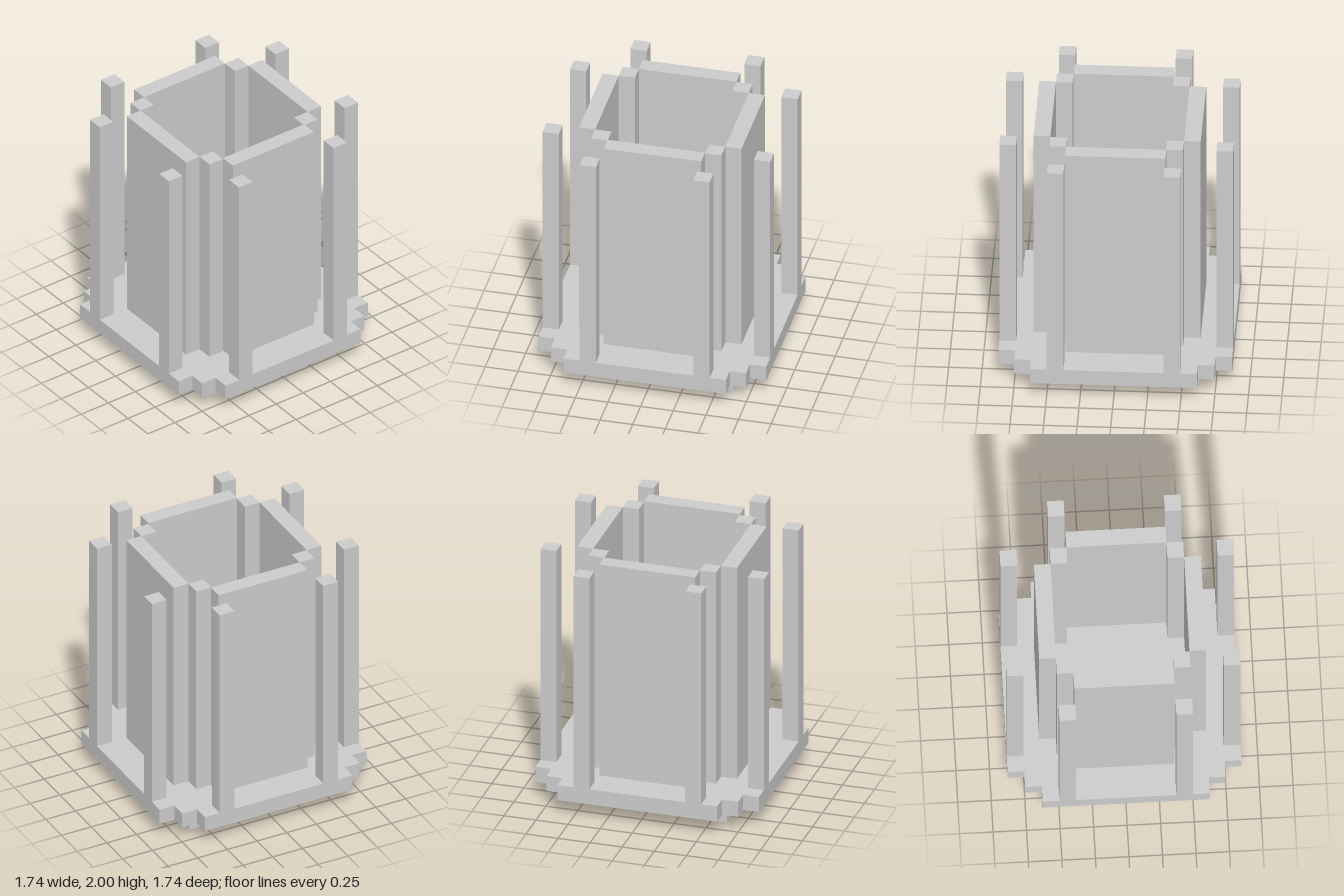
import * as THREE from 'three';

const U = 0.1245; // module: every part is laid out on this grid

export function createModel() {
  const model = new THREE.Group();
  const material = new THREE.MeshStandardMaterial({ color: 0xcccccc, flatShading: true });

  // Box given by its centre in x and z, its size and its bottom, in modules
  const box = (name, w, h, d, x, bottom, z) => {
    const mesh = new THREE.Mesh(new THREE.BoxGeometry(w * U, h * U, d * U), material);
    mesh.name = name;
    mesh.position.set(x * U, (bottom + h / 2) * U, z * U);
    model.add(mesh);
    return mesh;
  };

  // Square foot under the slab
  box('plinth', 10, 1, 10, 0, 0, 0);

  // Slab with stepped corners
  const corner = [[7, 5], [6, 5], [6, 6], [5, 6], [5, 7]];
  const outline = [];
  for (let q = 0; q < 4; q++) {
    const c = Math.round(Math.cos(q * Math.PI / 2));
    const s = Math.round(Math.sin(q * Math.PI / 2));
    for (const [x, y] of corner) {
      outline.push(new THREE.Vector2((x * c - y * s) * U, (x * s + y * c) * U));
    }
  }
  const slabGeometry = new THREE.ExtrudeGeometry(new THREE.Shape(outline), { depth: U, bevelEnabled: false });
  slabGeometry.rotateX(-Math.PI / 2);
  const slab = new THREE.Mesh(slabGeometry, material);
  slab.name = 'baseSlab';
  slab.position.y = U;
  model.add(slab);

  // Four walls; the left one sits slightly raised
  box('frontWall', 6, 14, 1, 0, 2, 4.5);
  box('backWall', 6, 14, 1, 0, 2, -4.5);
  box('rightWall', 1, 14, 6, -4.5, 2, 0);
  box('leftWall', 1, 14, 6, 4.5, 2, 0).position.y += 0.008;

  // Inner corner posts and the free-standing pairs around them
  for (const sx of [-1, 1]) {
    for (const sz of [-1, 1]) {
      box('cornerPost', 1, 14, 1, sx * 3.5, 2, sz * 3.5);
      box('sidePost', 1, 14, 1, sx * 6.5, 2, sz * 3.5);
      box('endPost', 1, 14, 1, sx * 3.5, 2, sz * 6.5);
    }
  }

  return model;
}
